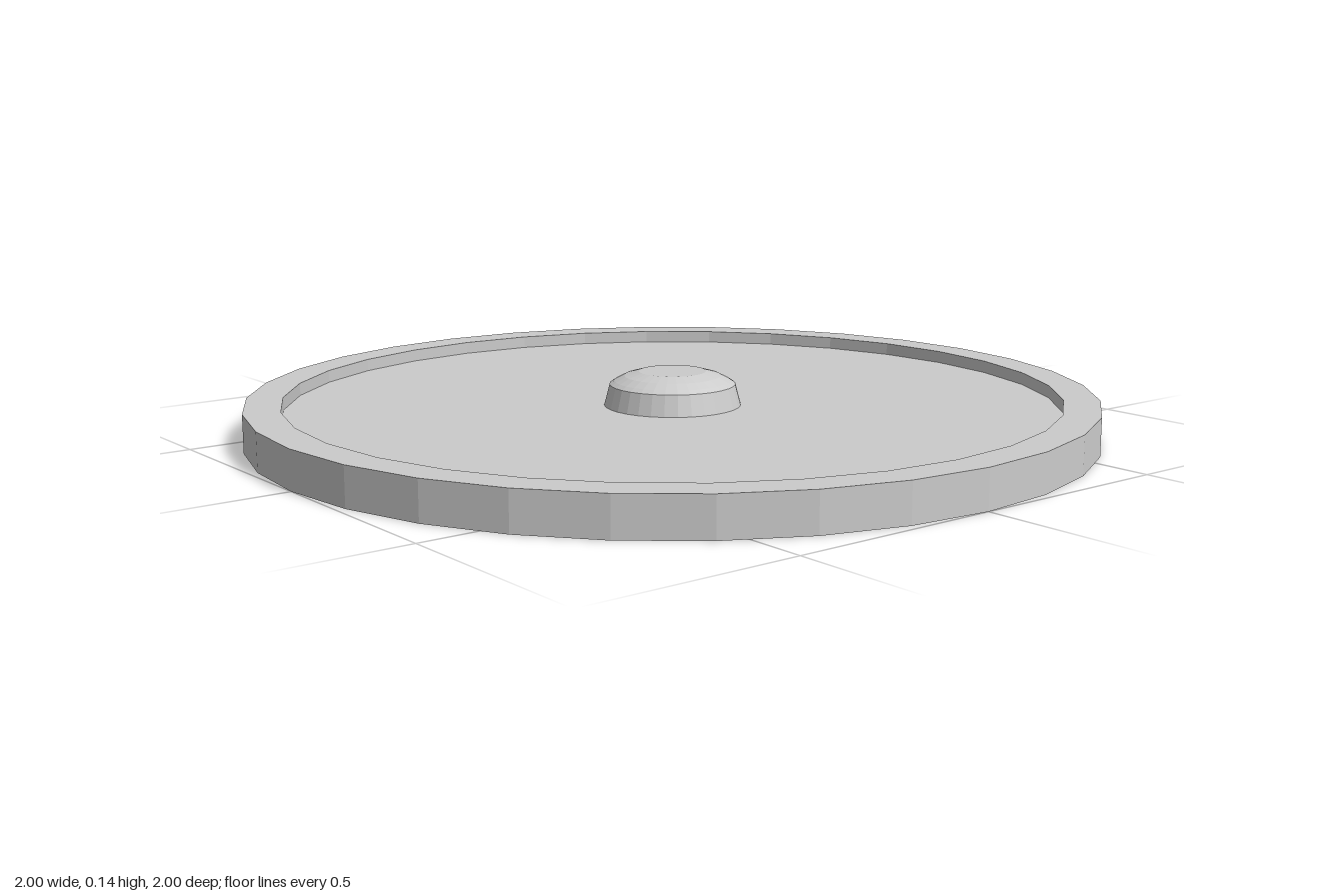
import * as THREE from 'three';

const SIDES = 32;

// Turns a [radius, height] profile around the y axis
function turned(name, profile, material) {
  const points = profile.map(([r, y]) => new THREE.Vector2(r, y));
  const mesh = new THREE.Mesh(new THREE.LatheGeometry(points, SIDES), material);
  mesh.name = name;
  return mesh;
}

export function createModel() {
  const group = new THREE.Group();
  group.name = 'roundTray';
  const material = new THREE.MeshStandardMaterial({ color: 0xcccccc, flatShading: true });

  // Shallow disc with a raised rim and a recessed floor
  group.add(turned('disc', [
    [0, 0], [1, 0], [1, 0.09], [0.915, 0.09], [0.915, 0.06], [0, 0.06],
  ], material));

  // Central button: tapered collar below a low dome with a flat top
  group.add(turned('button', [
    [0.163, 0.06], [0.15, 0.11], [0.138, 0.118], [0.115, 0.13], [0.08, 0.14], [0, 0.14],
  ], material));

  return group;
}
